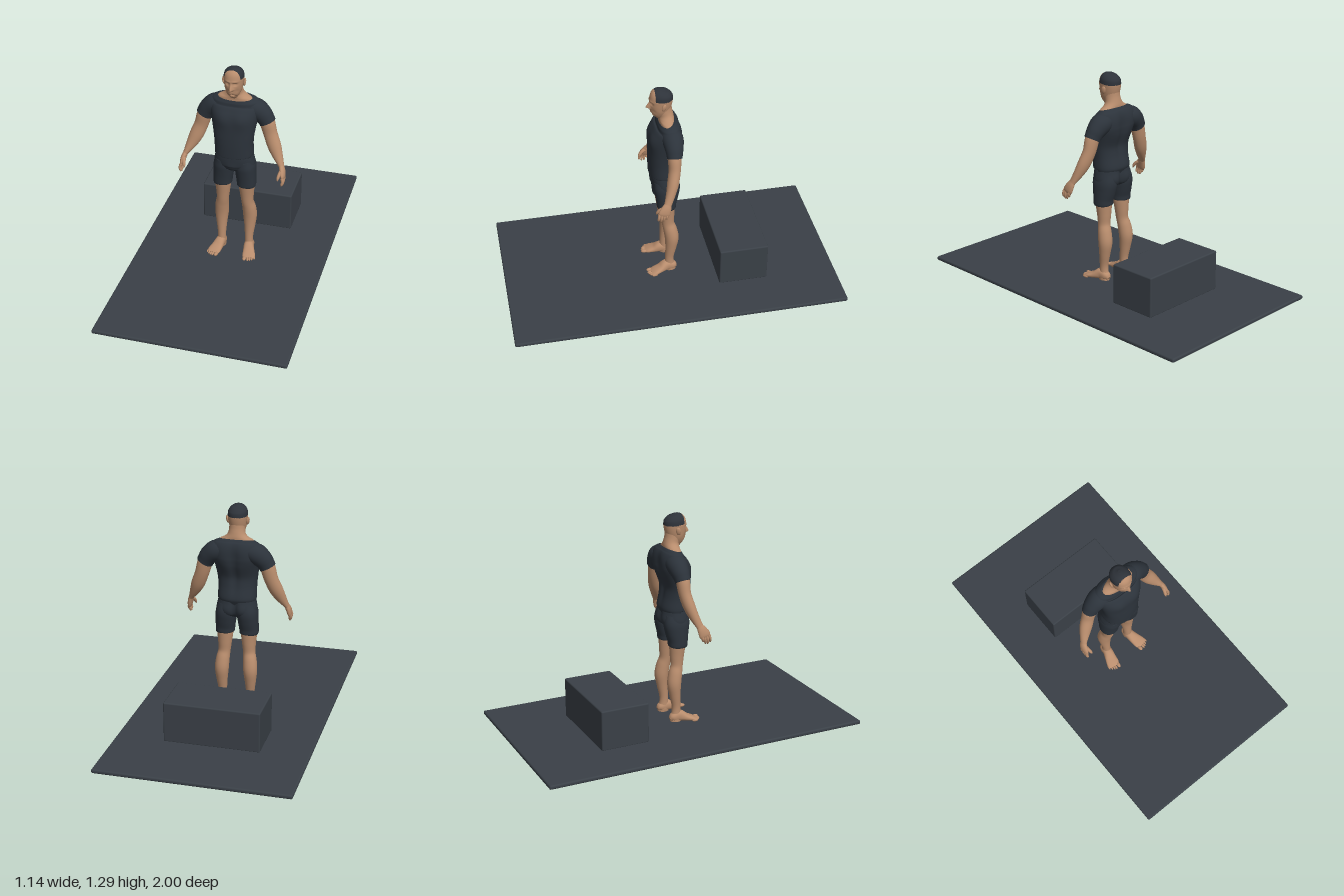
import * as THREE from 'three';
import { RoundedBoxGeometry } from 'three/addons/geometries/RoundedBoxGeometry.js';

const V = (x, y, z) => new THREE.Vector3(x, y, z);
const bump = (d, w) => Math.exp(-(d * d) / (w * w));

// Loft through stations [x, y, z, radiusU, radiusV]; rings stand square to the path.
// opts: ref (radiusV direction), segs, rows per span, n (squareness), deform(p), pick(p) for a second material
function loft(stations, { ref = V(0, 0, 1), segs = 32, rows = 5, n = 2, deform, pick } = {}) {
  const path = new THREE.CatmullRomCurve3(stations.map(s => V(s[0], s[1], s[2])), false, 'catmullrom', 0.5);
  const radii = new THREE.CatmullRomCurve3(stations.map(s => V(s[3], s[4], 0)), false, 'catmullrom', 0.5);
  const total = (stations.length - 1) * rows;
  const points = [], idx = [[], []];
  const sq = a => Math.sign(a) * Math.abs(a) ** (2 / n);
  for (let i = 0; i <= total; i++) {
    const t = i / total, c = path.getPoint(t), r = radii.getPoint(t);
    const T = path.getPoint(Math.min(1, t + 0.01)).sub(path.getPoint(Math.max(0, t - 0.01))).normalize();
    const v = ref.clone().addScaledVector(T, -ref.dot(T)).normalize();
    const u = v.clone().cross(T);
    for (let j = 0; j < segs; j++) {
      const a = j / segs * Math.PI * 2;
      const p = c.clone().addScaledVector(u, sq(Math.cos(a)) * r.x).addScaledVector(v, sq(Math.sin(a)) * r.y);
      if (deform) deform(p);
      points.push(p);
    }
  }
  const tri = (a, b, c) => {
    const mid = points[a].clone().add(points[b]).add(points[c]).divideScalar(3);
    idx[pick && pick(mid) ? 1 : 0].push(a, b, c);
  };
  for (let i = 0; i < total; i++) for (let j = 0; j < segs; j++) {
    const a = i * segs + j, b = i * segs + (j + 1) % segs;
    tri(a, b, a + segs);
    tri(b, b + segs, a + segs);
  }
  // Flat end caps
  for (const [start, flip] of [[0, true], [total * segs, false]]) {
    const base = points.length, mid = V(0, 0, 0);
    for (let j = 0; j < segs; j++) {
      const p = points[start + j].clone();
      points.push(p);
      mid.addScaledVector(p, 1 / segs);
    }
    points.push(mid);
    for (let j = 0; j < segs; j++) {
      const a = base + j, b = base + (j + 1) % segs;
      flip ? tri(b, a, base + segs) : tri(a, b, base + segs);
    }
  }
  const g = new THREE.BufferGeometry().setFromPoints(points);
  g.setIndex([...idx[0], ...idx[1]]);
  if (pick) {
    g.addGroup(0, idx[0].length, 0);
    g.addGroup(idx[0].length, idx[1].length, 1);
  }
  g.computeVertexNormals();
  return g;
}

export function createModel() {
  const group = new THREE.Group();
  const mat = (name, color) => Object.assign(new THREE.MeshStandardMaterial({ color }), { name });
  const skin = mat('skin', 0xb98d6d), cloth = mat('dark cloth', 0x2c333b);
  const hair = mat('hair', 0x2e333a), slab = mat('slate', 0x3a4047);
  const add = (name, geo, m, parent = group) => {
    const mesh = new THREE.Mesh(geo, m);
    mesh.name = name;
    parent.add(mesh);
    return mesh;
  };

  // Floor mat and block
  add('floorMat', new RoundedBoxGeometry(1.14, 0.025, 2, 3, 0.01), slab).position.y = 0.0125;
  add('block', new RoundedBoxGeometry(0.57, 0.245, 0.296, 3, 0.008), slab).position.set(0, 0.1435, -0.423);

  // Shirt body with chest and spine shaping
  add('shirt', loft([
    [0, 0.722, 0.018, 0.111, 0.083], [0, 0.732, 0.018, 0.116, 0.088], [0, 0.80, 0.026, 0.115, 0.082],
    [0, 0.87, 0.027, 0.122, 0.08], [0, 0.95, 0.014, 0.136, 0.09], [0, 1.0, 0, 0.148, 0.084],
    [0, 1.04, -0.01, 0.15, 0.07], [0, 1.07, -0.004, 0.137, 0.058], [0, 1.087, 0, 0.106, 0.047],
  ], { segs: 64, n: 2.3, deform: p => {
    const x = Math.abs(p.x);
    if (p.z < 0) p.z += 0.013 * bump(x, 0.022) * bump(p.y - 0.92, 0.14) - 0.006 * bump(x - 0.07, 0.04) * bump(p.y - 1.0, 0.06);
    else p.z += 0.008 * bump(x - 0.06, 0.045) * bump(p.y - 0.98, 0.05);
  } }), cloth);

  // Shorts, hips
  add('shortsHips', loft([
    [0, 0.738, 0.016, 0.108, 0.082], [0, 0.70, 0.014, 0.116, 0.083], [0, 0.66, 0.01, 0.123, 0.08],
    [0, 0.632, 0.012, 0.115, 0.068], [0, 0.612, 0.014, 0.075, 0.045],
  ], { segs: 64, n: 2.3, deform: p => {
    if (p.z < 0) p.z += 0.016 * bump(p.x, 0.016) - 0.008 * bump(Math.abs(p.x) - 0.055, 0.035) * bump(p.y - 0.66, 0.04);
    else p.z += 0.008 * bump(p.x, 0.035) * bump(p.y - 0.645, 0.035);
  } }), cloth);

  // Neck and collar slopes
  add('neck', loft([
    [0, 1.075, 0, 0.108, 0.044], [0, 1.09, 0, 0.098, 0.044], [0, 1.105, 0.001, 0.07, 0.045],
    [0, 1.125, 0.004, 0.052, 0.044], [0, 1.155, 0.011, 0.047, 0.045], [0, 1.20, 0.016, 0.046, 0.046],
  ], { segs: 40 }), skin);

  // Head: face modelled by pushing the front outward or inward
  const face = p => {
    if (p.z < 0.05) return;
    const x = Math.abs(p.x), y = p.y;
    const nose = y > 1.176 ? bump(y - 1.176, 0.027) : bump(y - 1.176, 0.006);
    p.z += 0.023 * nose * bump(x, 0.0085 + 0.003 * bump(y - 1.176, 0.012))
      - 0.010 * bump(x - 0.022, 0.012) * bump(y - 1.208, 0.009)
      + 0.004 * bump(x - 0.02, 0.02) * bump(y - 1.224, 0.007)
      + 0.003 * bump(x - 0.022, 0.009) * bump(y - 1.207, 0.004)
      + 0.006 * bump(x, 0.018) * bump(y - 1.152, 0.010)
      - 0.005 * bump(x, 0.019) * bump(y - 1.152, 0.0025)
      + 0.006 * bump(x, 0.016) * bump(y - 1.126, 0.010)
      - 0.004 * bump(x - 0.034, 0.012) * bump(y - 1.165, 0.015);
  };
  const isHair = p => p.z < 0.067 && p.y > 1.226 + 0.1 * Math.max(0, p.z);
  add('head', loft([
    [0, 1.112, 0.062, 0.014, 0.018], [0, 1.122, 0.052, 0.031, 0.038], [0, 1.15, 0.04, 0.046, 0.055],
    [0, 1.18, 0.033, 0.053, 0.062], [0, 1.21, 0.029, 0.057, 0.066], [0, 1.235, 0.027, 0.058, 0.067],
    [0, 1.26, 0.025, 0.053, 0.061], [0, 1.28, 0.022, 0.035, 0.042], [0, 1.289, 0.02, 0.008, 0.01],
  ], { segs: 96, rows: 9, n: 2.1, deform: face, pick: isHair }), [skin, hair]);

  for (const s of [1, -1]) {
    const side = s > 0 ? 'left' : 'right';
    const part = (name, st, m, opts) =>
      add(side + name, loft(st.map(([x, ...rest]) => [x * s, ...rest]), opts), m);

    // Ear
    const ear = add(side + 'Ear', new THREE.SphereGeometry(1, 20, 14), skin);
    ear.scale.set(0.008, 0.024, 0.014);
    ear.position.set(0.061 * s, 1.197, 0.022);
    ear.rotation.set(-0.15, 0.35 * s, -0.15 * s);

    // Sleeve and arm
    part('Sleeve', [
      [0.06, 1.032, -0.012, 0.046, 0.058], [0.118, 1.014, -0.016, 0.063, 0.062], [0.158, 0.985, -0.016, 0.058, 0.054],
      [0.18, 0.955, -0.014, 0.052, 0.047], [0.19, 0.936, -0.013, 0.05, 0.044],
    ], cloth);
    part('Arm', [
      [0.172, 0.975, -0.014, 0.042, 0.036], [0.19, 0.932, -0.012, 0.045, 0.039], [0.209, 0.865, -0.009, 0.042, 0.035],
      [0.237, 0.795, 0.006, 0.041, 0.034], [0.263, 0.74, 0.024, 0.031, 0.028], [0.29, 0.69, 0.045, 0.0165, 0.022],
      [0.296, 0.675, 0.051, 0.016, 0.022],
    ], skin);

    // Hand with four fingers and thumb
    part('Palm', [
      [0.291, 0.69, 0.045, 0.015, 0.02], [0.3, 0.665, 0.057, 0.016, 0.029],
      [0.306, 0.638, 0.069, 0.014, 0.034], [0.308, 0.622, 0.075, 0.009, 0.03],
    ], skin);
    for (let f = 0; f < 4; f++) {
      const z = 0.052 + f * 0.0155, drop = [0.035, 0.048, 0.05, 0.042][f], y = 0.634;
      part('Finger' + (f + 1), [
        [0.307, y, z, 0.009, 0.0085], [0.312, y - drop * 0.5, z + 0.004, 0.0085, 0.008],
        [0.308, y - drop * 0.9, z + 0.007, 0.0075, 0.007], [0.305, y - drop * 1.1, z + 0.008, 0.003, 0.003],
      ], skin, { segs: 12 });
    }
    part('Thumb', [
      [0.297, 0.668, 0.065, 0.012, 0.013], [0.29, 0.655, 0.09, 0.01, 0.011],
      [0.285, 0.636, 0.106, 0.0085, 0.009], [0.283, 0.622, 0.112, 0.003, 0.004],
    ], skin, { segs: 14 });

    // Shorts leg and leg
    part('ShortsLeg', [
      [0.06, 0.69, 0.012, 0.052, 0.074], [0.064, 0.64, 0.008, 0.062, 0.078], [0.068, 0.59, 0.009, 0.061, 0.07],
      [0.072, 0.54, 0.012, 0.058, 0.06], [0.073, 0.51, 0.012, 0.057, 0.057], [0.073, 0.504, 0.012, 0.053, 0.053],
    ], cloth, { n: 2.2 });
    part('Leg', [
      [0.074, 0.54, 0.011, 0.05, 0.05], [0.073, 0.50, 0.009, 0.049, 0.048], [0.074, 0.44, 0.006, 0.042, 0.042],
      [0.077, 0.38, 0.003, 0.037, 0.037], [0.084, 0.33, -0.009, 0.041, 0.041], [0.088, 0.27, -0.018, 0.042, 0.042],
      [0.088, 0.20, -0.013, 0.034, 0.034], [0.086, 0.13, -0.005, 0.026, 0.027], [0.086, 0.085, -0.004, 0.025, 0.028],
      [0.087, 0.05, -0.007, 0.028, 0.035], [0.088, 0.028, -0.008, 0.027, 0.035],
    ], skin);

    // Foot and toes
    part('Foot', [
      [0.086, 0.044, -0.045, 0.01, 0.014], [0.087, 0.053, -0.025, 0.027, 0.027], [0.09, 0.06, 0.015, 0.034, 0.03],
      [0.1, 0.047, 0.055, 0.022, 0.035], [0.109, 0.039, 0.09, 0.014, 0.039], [0.113, 0.034, 0.113, 0.008, 0.033],
    ], skin, { ref: V(1, 0, 0), n: 2.3 });
    for (let t = 0; t < 5; t++) {
      const toe = add(side + 'Toe' + (t + 1), new THREE.SphereGeometry(1, 14, 10), skin);
      const w = t ? 0.0075 - t * 0.0004 : 0.0115;
      toe.scale.set(w, t ? 0.008 : 0.01, 0.019);
      toe.position.set((t ? 0.097 + t * 0.0122 : 0.089) * s, t ? 0.033 : 0.035, 0.122 - t * t * 0.0017);
      toe.rotation.y = 0.15 * s;
    }
  }
  return group;
}
